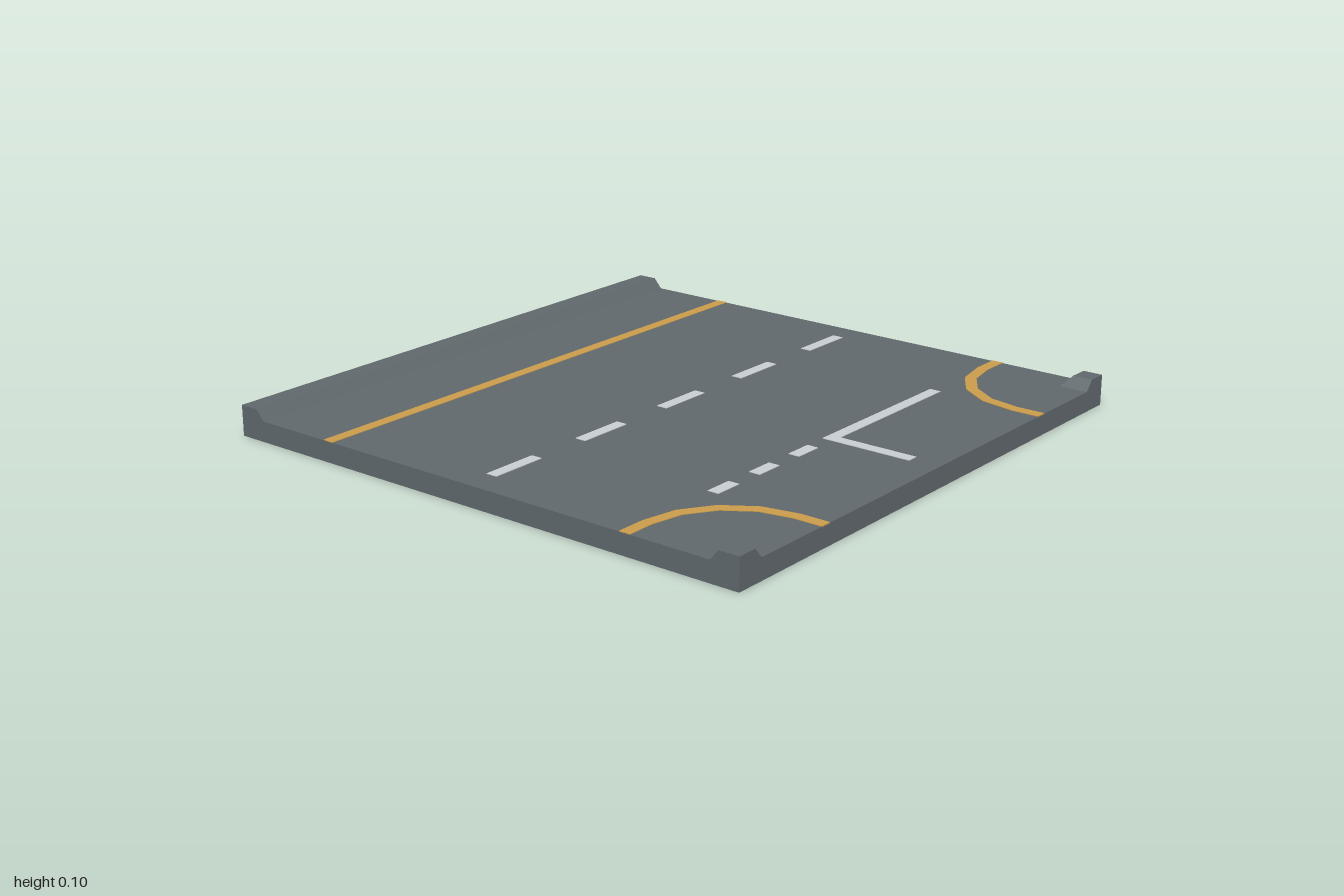
import * as THREE from 'three';

const ROAD_Y = 0.07, CURB_Y = 0.105, PAINT_Y = 0.072;
const LINE = 0.04; // painted line width

export function createModel() {
  const group = new THREE.Group();
  const material = (name, color) => {
    const m = new THREE.MeshStandardMaterial({ color });
    m.name = name;
    return m;
  };
  const asphalt = material('asphalt', 0x60686c);
  const white = material('white paint', 0xc6cdd0);
  const amber = material('amber paint', 0xca9c4b);

  const add = (name, geometry, mat) => {
    const mesh = new THREE.Mesh(geometry, mat);
    mesh.name = name;
    group.add(mesh);
    return mesh;
  };

  // Thin rectangular paint strip between two corners on the road surface
  const strip = (name, x0, x1, z0, z1, mat) => {
    const geo = new THREE.BoxGeometry(x1 - x0, 0.004, z1 - z0);
    add(name, geo, mat).position.set((x0 + x1) / 2, PAINT_Y - 0.002, (z0 + z1) / 2);
  };

  // Road slab with the long bevelled curb, one profile swept along z
  const profile = new THREE.Shape([
    [-1, 0], [1, 0], [1, ROAD_Y], [-0.9, ROAD_Y], [-0.93, CURB_Y], [-1, CURB_Y],
  ].map(([x, y]) => new THREE.Vector2(x, y)));
  const slab = new THREE.ExtrudeGeometry(profile, { depth: 2, bevelEnabled: false });
  add('roadAndCurb', slab.translate(0, 0, -1), asphalt);

  // Corner curbs, bevelled on their two inner sides, and curved edge lines
  for (const s of [-1, 1]) {
    const side = s < 0 ? 'back' : 'front';
    const h = CURB_Y - ROAD_Y;
    const corner = new THREE.BoxGeometry(0.1, h, 0.1).translate(0.95, ROAD_Y + h / 2, s * 0.95);
    const p = corner.attributes.position;
    for (let i = 0; i < p.count; i++) {
      if (p.getY(i) < CURB_Y - 0.001) continue;
      if (p.getX(i) < 0.95) p.setX(i, 0.93);
      if (Math.abs(p.getZ(i)) < 0.95) p.setZ(i, s * 0.93);
    }
    corner.computeVertexNormals();
    add(side + 'CornerCurb', corner, asphalt);

    // Short straight, four-segment quarter turn, short straight
    const edge = (r) => {
      const points = [new THREE.Vector2(0.9 - r, s)];
      for (let i = 0; i <= 4; i++) {
        const a = (i / 4) * Math.PI / 2;
        points.push(new THREE.Vector2(0.9 - r * Math.cos(a), s * (0.9 - r * Math.sin(a))));
      }
      points.push(new THREE.Vector2(1, s * (0.9 - r)));
      return points;
    };
    const outline = [...edge(0.3 + LINE / 2), ...edge(0.3 - LINE / 2).reverse()];
    const curve = new THREE.ExtrudeGeometry(new THREE.Shape(outline), { depth: 0.004, bevelEnabled: false });
    add(side + 'CurvedLine', curve.rotateX(Math.PI / 2).translate(0, PAINT_Y, 0), amber);
  }

  // Straight edge line and centre dashes
  strip('edgeLine', -0.62, -0.58, -1, 1, amber);
  for (let i = 0; i < 5; i++) {
    const z = -0.8 + i * 0.4;
    strip('centreDash', -0.02, 0.02, z - 0.1, z + 0.1, white);
  }

  // Side junction: solid line, stop line and short dashes
  strip('junctionLine', 0.58, 0.62, -0.6, 0.02, white);
  strip('junctionDivider', 0.62, 0.9, -0.02, 0.02, white);
  for (let i = 0; i < 3; i++) {
    const z = 0.1 + i * 0.2;
    strip('junctionDash', 0.58, 0.62, z, z + 0.1, white);
  }

  return group;
}
